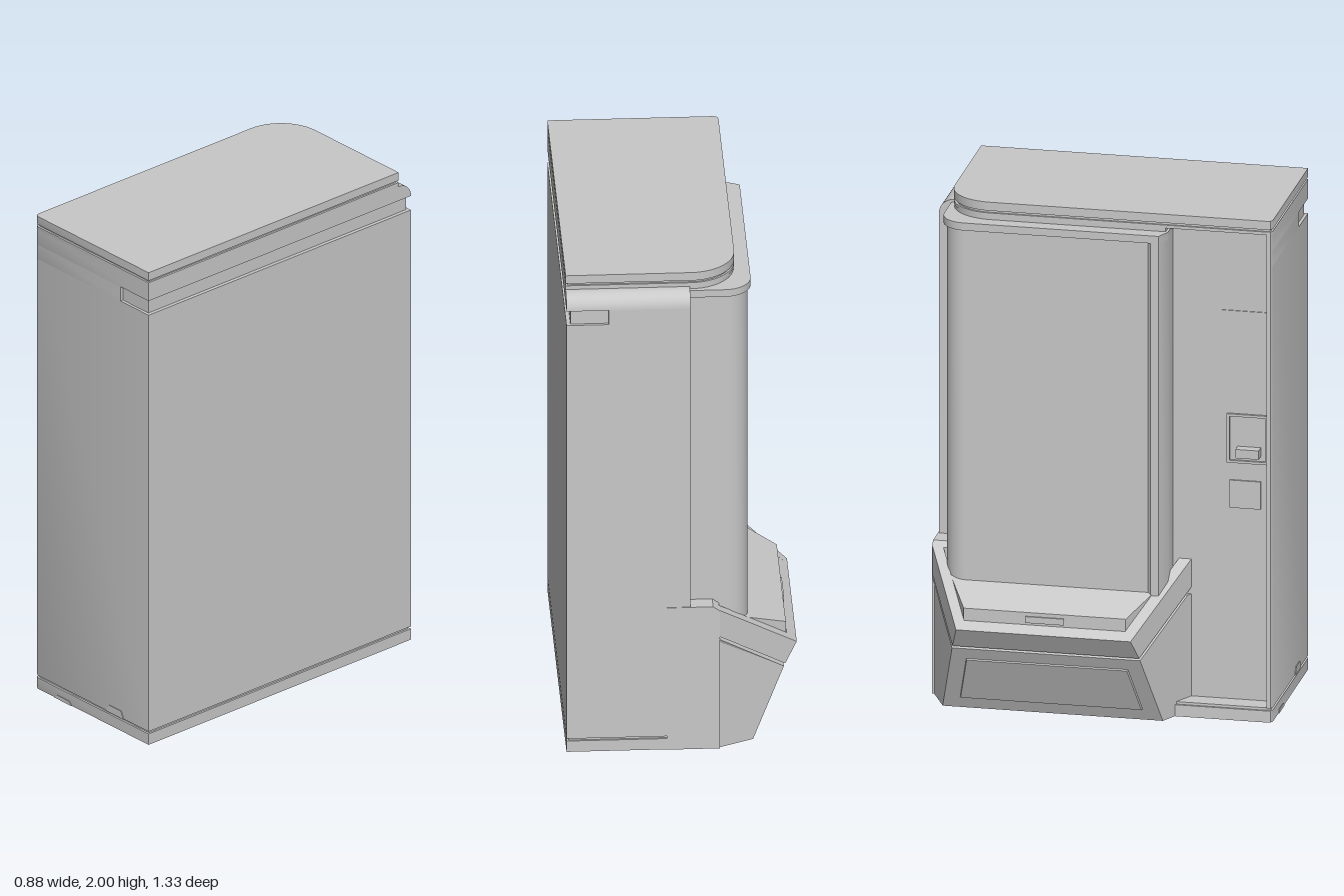
import * as THREE from 'three';
import { toCreasedNormals } from 'three/addons/utils/BufferGeometryUtils.js';

export function createModel() {
  const root = new THREE.Group();
  root.name = 'vendingMachine';
  const grey = new THREE.MeshStandardMaterial({ color: 0xc8c8c8 });
  grey.name = 'casing grey';

  const add = (name, geometry) => {
    const mesh = new THREE.Mesh(toCreasedNormals(geometry, 0.5), grey);
    mesh.name = name;
    root.add(mesh);
    return mesh;
  };
  const shapeOf = (pts) => new THREE.Shape(pts.map(([a, b]) => new THREE.Vector2(a, b)));
  const extrude = (pts, depth) => new THREE.ExtrudeGeometry(shapeOf(pts), { depth, bevelEnabled: false });

  // Box given by its limits
  const box = (name, x0, x1, y0, y1, z0, z1) => {
    const g = new THREE.BoxGeometry(x1 - x0, y1 - y0, z1 - z0);
    g.translate((x0 + x1) / 2, (y0 + y1) / 2, (z0 + z1) / 2);
    return add(name, g);
  };
  // Plan outline of [x, z] points raised from y0 to y1
  const plan = (name, pts, y0, y1) => {
    const g = extrude(pts.map(([x, z]) => [x, -z]), y1 - y0);
    g.rotateX(-Math.PI / 2);
    g.translate(0, y0, 0);
    return add(name, g);
  };
  // Quarter arc points, from the -x side round to the -z side
  const arc = (cx, cz, r, n = 12) => Array.from({ length: n + 1 }, (_, i) => {
    const a = (i / n) * Math.PI / 2;
    return [cx - r * Math.cos(a), cz - r * Math.sin(a)];
  });

  // Body outlines: d insets the outline, notch cuts the grip into the rear
  const frontCorner = (d) => [[-0.19, 0.662 - d], [-0.203 + d, 0.655 - d], [-0.207 + d, 0.64 - d]];
  const bodyOutline = (notch) => [
    ...(notch ? [[0.425, 0.65], [0.28, 0.65], [0.28, 0.662]] : [[0.44, 0.662]]),
    ...frontCorner(0), [-0.12, 0.64], [-0.12, 0.25], [-0.205, 0.25],
    ...arc(-0.035, -0.43, 0.17), [-0.03, -0.6], [notch ? 0.425 : 0.44, -0.6],
  ];
  const sideOutline = (notch) => [
    [-0.03, -0.6], [-0.03, -0.665],
    ...(notch ? [[0.28, -0.665], [0.28, -0.653], [0.425, -0.653], [0.425, -0.6]] : [[0.44, -0.665], [0.44, -0.6]]),
  ];
  const baseOutline = (d) => [
    [0.44 - d, 0.662 - d], ...frontCorner(d), [-0.207 + d, -0.62], [-0.1, -0.665 + d], [0.44 - d, -0.665 + d],
  ];
  const capOutline = (d) => [
    [0.44 - d, 0.662 - d], ...frontCorner(d), ...arc(-0.035, -0.43, 0.172 - d), [0.44 - d, -0.602 + d],
  ];

  // Plinth with seam
  plan('plinth', baseOutline(0), 0, 0.046);
  plan('plinthSeam', baseOutline(0.008), 0.046, 0.056);

  // Cabinet in layers, with the grip channel near the top
  [[0.056, 1.82, false], [1.82, 1.88, true], [1.88, 1.945, false]].forEach(([y0, y1, notch]) => {
    plan(notch ? 'gripChannel' : 'cabinet', bodyOutline(notch), y0, y1);
    if (y1 < 1.9) plan(notch ? 'sideGrip' : 'sidePanel', sideOutline(notch), y0, y1);
  });

  // Rounded shoulder over the side panel
  const shoulder = [[0.6, 1.88], [0.665, 1.88]];
  for (let i = 1; i <= 10; i++) {
    const a = (i / 10) * Math.PI / 2;
    shoulder.push([0.605 + 0.06 * Math.cos(a), 1.88 + 0.06 * Math.sin(a)]);
  }
  shoulder.push([0.6, 1.94]);
  const shoulderGeo = extrude(shoulder, 0.47);
  shoulderGeo.rotateY(Math.PI / 2);
  shoulderGeo.translate(-0.03, 0, 0);
  add('sideShoulder', shoulderGeo);

  // Top cap with a seam
  plan('capLower', capOutline(0), 1.945, 1.957);
  plan('capSeam', capOutline(0.008), 1.957, 1.966);
  plan('capUpper', capOutline(0), 1.966, 2);

  // Wrap-round display window with raised frame
  const windowOutline = (d, zEnd) => [
    [-0.15, zEnd], [-0.21, zEnd], [-0.265 + d, zEnd - 0.025],
    ...arc(-0.165, -0.515, 0.1 - d), [-0.03, -0.615 + d], [-0.03, -0.5], [-0.15, -0.4],
  ];
  plan('windowGlass', windowOutline(0.012, 0.25), 0.3, 1.905);
  plan('windowTopFrame', windowOutline(0, 0.26), 1.9, 1.93);
  plan('windowSideFrame', [[-0.12, 0.26], [-0.21, 0.26], [-0.265, 0.235], [-0.265, 0.205], [-0.25, 0.19], [-0.12, 0.19]], 0.3, 1.92);

  // Payment panel details in the recessed column
  box('panelSeam', -0.124, -0.118, 1.6, 1.606, 0.45, 0.63);
  [[1.185, 1.195, 0.47, 0.63], [1.0, 1.01, 0.47, 0.63], [1.0, 1.195, 0.47, 0.48], [1.0, 1.195, 0.62, 0.63]]
    .forEach(([y0, y1, z0, z1]) => box('coinFrame', -0.13, -0.118, y0, y1, z0, z1));
  box('coinTray', -0.16, -0.118, 1.03, 1.065, 0.51, 0.6);
  box('returnDoor', -0.127, -0.118, 0.82, 0.93, 0.48, 0.6);

  // Delivery hopper: [x, y] profiles stretched between its tapering sides
  const zMin = (x) => Math.max(-0.668, -0.51 - (x + 0.44) * 0.517);
  const zMax = (x) => 0.165 + (x + 0.44) * 0.52;
  const hopper = (name, profile, lo, hi) => {
    const g = extrude(profile, 1);
    const p = g.attributes.position;
    for (let i = 0; i < p.count; i++) {
      const x = p.getX(i);
      p.setZ(i, p.getZ(i) < 0.5 ? lo(x) : hi(x));
    }
    g.computeVertexNormals();
    return add(name, g);
  };
  const innerMin = (x) => zMin(x) + 0.042;
  const innerMax = (x) => zMax(x) - 0.048;
  hopper('hopperBase', [[-0.12, 0], [-0.27, 0], [-0.39, 0.275], [-0.14, 0.463], [-0.12, 0.463]], zMin, zMax);
  const rim = [[-0.14, 0.475], [-0.395, 0.285], [-0.44, 0.365], [-0.14, 0.587]];
  hopper('hopperRimFar', rim, zMin, innerMin);
  hopper('hopperRimNear', [[-0.12, 0.49], ...rim.slice(1, 3), [-0.12, 0.602]], innerMax, zMax);
  hopper('hopperRimFront', [[-0.36, 0.311], [-0.395, 0.285], [-0.44, 0.365], [-0.403, 0.392]], innerMin, innerMax);
  hopper('hopperFlap', [[-0.2, 0.45], [-0.4, 0.33], [-0.4, 0.44], [-0.2, 0.525]], innerMin, innerMax);
  box('flapHandle', -0.406, -0.398, 0.4, 0.425, -0.25, -0.1);
  // Thin front plate on the slanted hopper face
  hopper('hopperFrontPlate', [[-0.295, 0.05], [-0.301, 0.048], [-0.378, 0.226], [-0.372, 0.23]],
    (x) => zMin(x) + 0.06, (x) => zMax(x) - 0.06);

  // Hopper cheek lying on the cabinet side
  const cheek = extrude([[0.06, 0], [0.06, 0.605], [-0.115, 0.605], [-0.14, 0.587], [-0.14, 0]], 0.068);
  cheek.translate(0, 0, -0.668);
  add('hopperCheek', cheek);

  // Small vent and foot plates on the near side
  [['ventPlate', 0.25, 0.055, 0.03], ['footPlate', -0.045, 0, 0.015]].forEach(([name, x, y, h]) => {
    const g = extrude([[-0.05, 0], [0.05, 0], [0.035, h], [-0.035, h]], 0.006);
    g.translate(x, y, 0.659);
    add(name, g);
  });

  return root;
}
